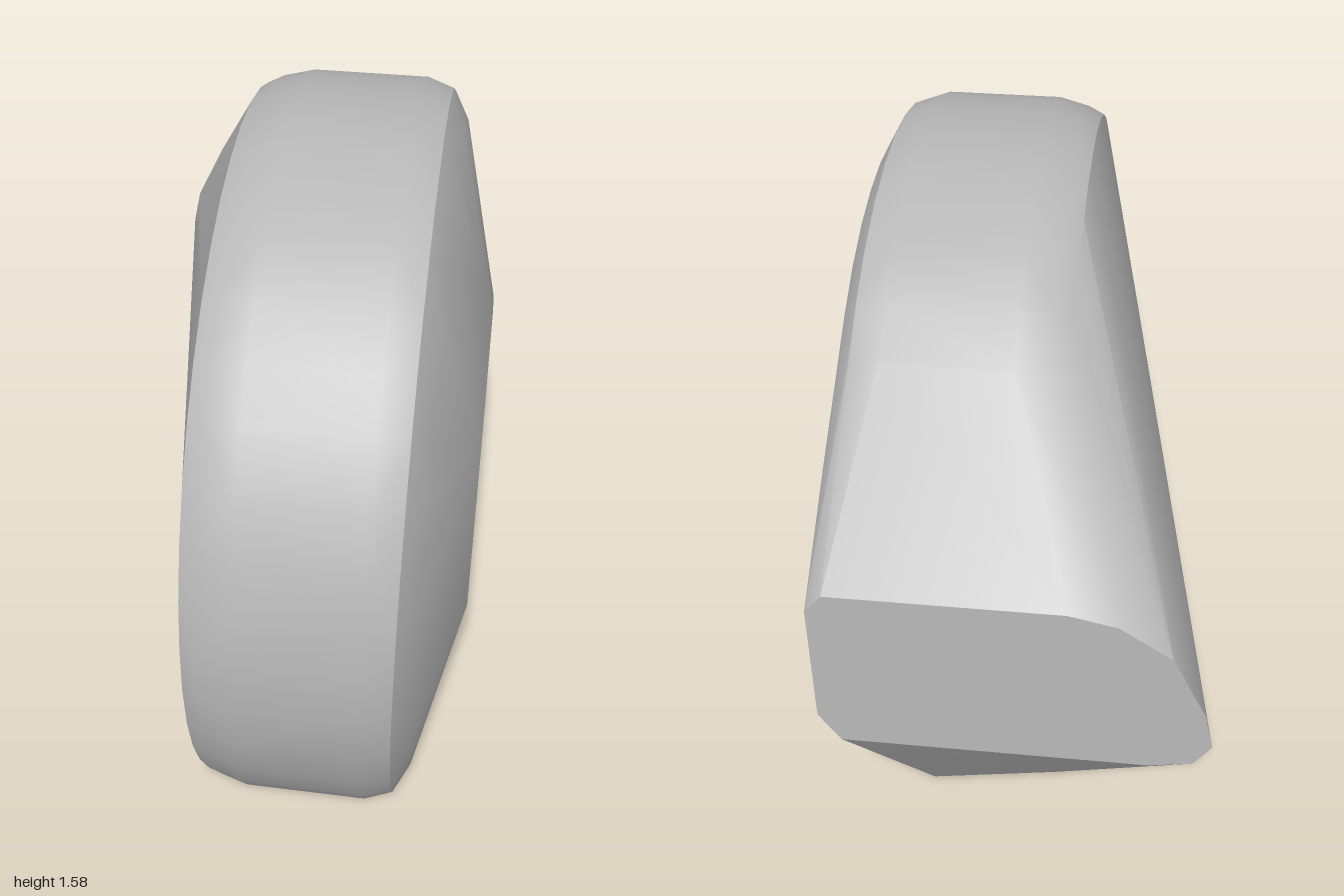
import * as THREE from 'three';
import { toCreasedNormals } from 'three/addons/utils/BufferGeometryUtils.js';
import { ConvexGeometry } from 'three/addons/geometries/ConvexGeometry.js';

export function createModel() {
  const grey = new THREE.MeshStandardMaterial({ color: 0xb8b8b8 });
  grey.name = 'stone grey';
  const points = [];
  const add = (x, y, z) => points.push(new THREE.Vector3(x, y, z));

  // Rounded disc rim: [x, radius] rings, swept from the front foot over the top
  const rings = [[-0.14, 0.93], [-0.1, 0.95], [-0.02, 0.97], [0.28, 0.97], [0.35, 0.945], [0.39, 0.87]];
  const steps = 20;
  for (const [x, r] of rings) {
    for (let i = 0; i <= steps; i++) {
      const a = THREE.MathUtils.degToRad(-39 + (170 * i) / steps);
      add(x, Math.max(0, 0.615 + r * Math.sin(a)), 0.03 + r * Math.cos(a));
    }
  }

  // Flat back end: [x, y] at z = -1
  [[0.35, 1.01], [0.39, 0.96], [0.39, 0.63], [0.34, 0.55], [-0.37, 0.55], [-0.47, 0.57],
    [-0.51, 0.63], [-0.49, 0.73], [-0.41, 0.9], [-0.29, 0.985], [-0.18, 1.01]]
    .forEach(([x, y]) => add(x, y, -1));

  // Flat base: [x, z] at y = 0
  [[0.39, -0.57], [0.2, -0.65], [-0.12, -0.6], [-0.21, -0.25], [-0.14, 0.74],
    [-0.03, 0.78], [0.27, 0.78], [0.36, 0.65], [0.39, 0.5]]
    .forEach(([x, z]) => add(x, 0, z));

  // Raised facet on the left side: [y, z] at x = 0.5
  [[1.02, 0], [0.88, 0.37], [0.37, 0.41], [0.19, 0.07], [0.4, -0.31], [0.83, -0.37]]
    .forEach(([y, z]) => add(0.5, y, z));

  const body = new THREE.Mesh(toCreasedNormals(new ConvexGeometry(points), THREE.MathUtils.degToRad(28)), grey);
  body.name = 'body';
  const group = new THREE.Group();
  group.name = 'facetedBlock';
  group.add(body);
  return group;
}
